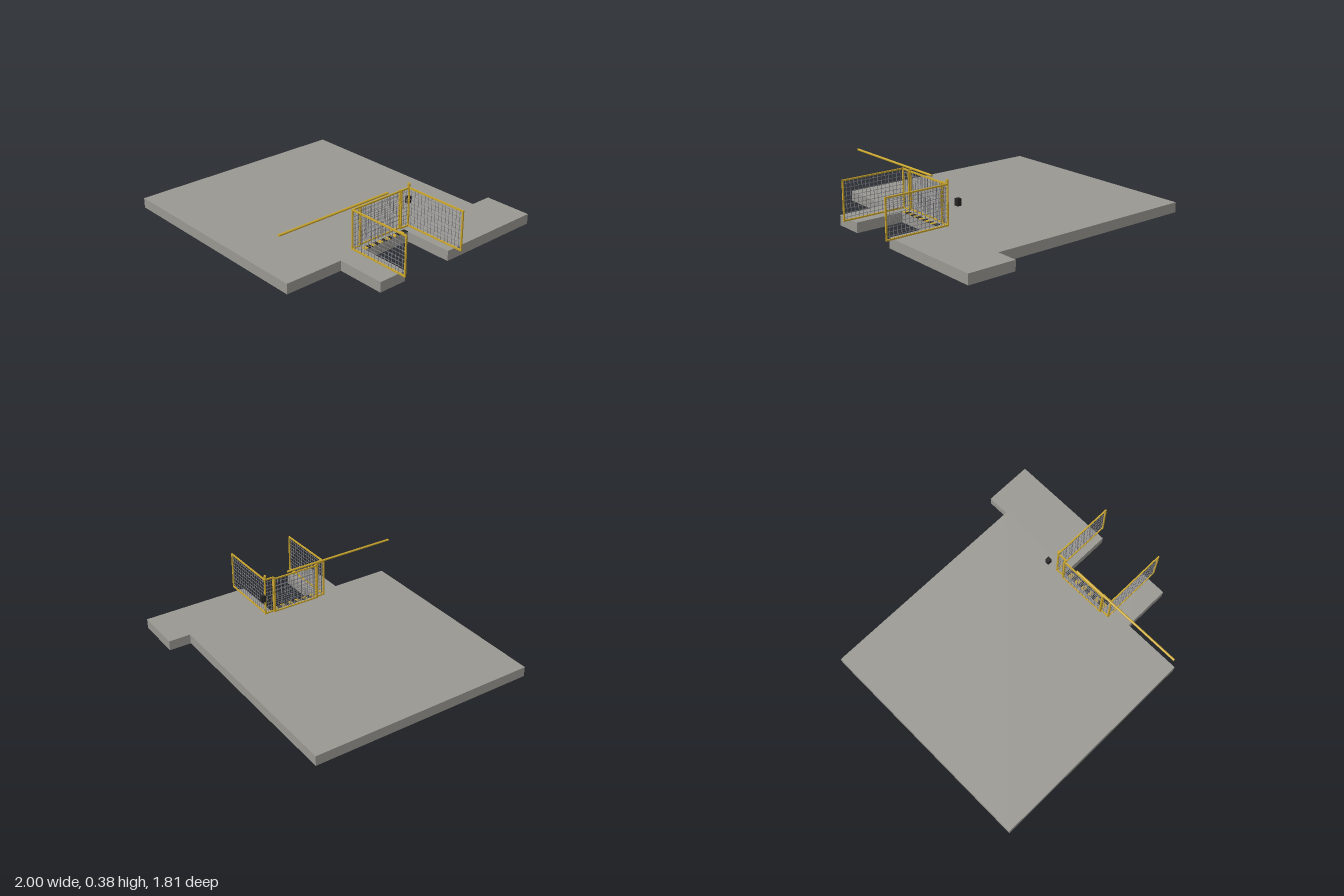
import * as THREE from 'three';

const mat = (name, color) => {
  const m = new THREE.MeshStandardMaterial({ color });
  m.name = name;
  return m;
};

export function createModel() {
  const concrete = mat('concrete', 0x9a9892);
  const yellow = mat('safetyYellow', 0xc9a52c);
  const wire = mat('wireGrey', 0x85858a);
  const black = mat('black', 0x262626);
  const model = new THREE.Group();
  model.name = 'gatedPlatform';

  const box = (parent, name, material, w, h, d, x, y, z) => {
    const mesh = new THREE.Mesh(new THREE.BoxGeometry(w, h, d), material);
    mesh.name = name;
    mesh.position.set(x, y, z);
    parent.add(mesh);
    return mesh;
  };
  const rod = (parent, name, r, length, x, y, z) => {
    const mesh = new THREE.Mesh(new THREE.CylinderGeometry(r, r, length, 16), yellow);
    mesh.name = name;
    mesh.position.set(x, y, z);
    parent.add(mesh);
    return mesh;
  };

  // Floor slab with a loading notch
  const floorY = 0.072;
  const outline = [[-1, -0.745], [0.587, -0.745], [0.587, -0.905], [0.938, -0.905],
    [0.938, -0.112], [0.585, -0.112], [0.585, 0.267], [0.938, 0.267],
    [0.938, 0.475], [0.585, 0.475], [0.585, 0.905], [-1, 0.905]];
  const slabShape = new THREE.Shape(outline.map(([x, z]) => new THREE.Vector2(x, -z)));
  const slab = new THREE.Mesh(
    new THREE.ExtrudeGeometry(slabShape, { depth: floorY, bevelEnabled: false }), concrete);
  slab.name = 'floorSlab';
  slab.rotation.x = -Math.PI / 2;
  model.add(slab);

  // Hazard stripes along the notch edge
  const stripeCount = 12, z0 = -0.112, stripe = 0.379 / stripeCount;
  for (let i = 0; i < stripeCount; i++) {
    box(model, 'hazardStripe', i % 2 ? yellow : black, 0.036, 0.004, stripe,
      0.567, floorY + 0.002, z0 + (i + 0.5) * stripe);
  }

  // Framed mesh panel along local +x, standing on local y = 0
  const panel = (name, length, height, grids) => {
    const g = new THREE.Group();
    g.name = name;
    const t = 0.01, wr = 0.0025;
    for (const x of [t / 2, length - t / 2]) box(g, 'framePost', yellow, t, height, t, x, height / 2, 0);
    for (const y of [t / 2, height - t / 2]) box(g, 'frameRail', yellow, length - 2 * t, t, t, length / 2, y, 0);
    for (const { cols, rows, z } of grids) {
      for (let i = 1; i < cols; i++) {
        box(g, 'verticalWire', wire, wr, height - t, wr, (length * i) / cols, height / 2, z);
      }
      for (let i = 1; i < rows; i++) {
        box(g, 'horizontalWire', wire, length - t, wr, wr, length / 2, (height * i) / rows, z);
      }
    }
    model.add(g);
    return g;
  };
  const baseY = 0.075, fenceH = 0.282, fenceX = 0.528;

  // Side wings reaching out over the notch sides
  for (const z of [-0.168, 0.328]) {
    panel('sideFence', 1 - fenceX + 0.005, fenceH, [{ cols: 16, rows: 10, z: 0 }])
      .position.set(fenceX - 0.005, baseY, z);
  }

  // Narrow fixed panels beside the gate
  for (const [zStart, length] of [[-0.095, 0.078], [0.333, 0.076]]) {
    const p = panel('fixedPanel', length, fenceH, [{ cols: 3, rows: 10, z: 0 }]);
    p.rotation.y = Math.PI / 2;
    p.position.set(fenceX, baseY, zStart);
  }

  // Gate across the opening, with two layers of mesh
  const gate = panel('gate', 0.366, 0.274,
    [{ cols: 13, rows: 9, z: -0.003 }, { cols: 11, rows: 8, z: 0.003 }]);
  gate.rotation.y = Math.PI / 2;
  gate.position.set(0.516, baseY, 0.265);
  for (const z of [-0.098, 0.26]) box(model, 'gatePost', yellow, 0.012, 0.28, 0.013, 0.516, 0.215, z);

  // Corner post and cap
  rod(model, 'cornerPost', 0.006, 0.29, fenceX, 0.217, -0.168);
  rod(model, 'cornerPostCap', 0.01, 0.026, fenceX, 0.372, -0.166);

  // Long overhead bar
  const bar = rod(model, 'overheadBar', 0.008, 0.89, 0.518, 0.368, 0.46);
  bar.rotation.x = Math.PI / 2;

  // Control box
  box(model, 'controlBox', black, 0.03, 0.049, 0.031, 0.481, 0.238, -0.214);
  box(model, 'controlBoxButton', black, 0.006, 0.02, 0.016, 0.465, 0.24, -0.214);

  return model;
}
